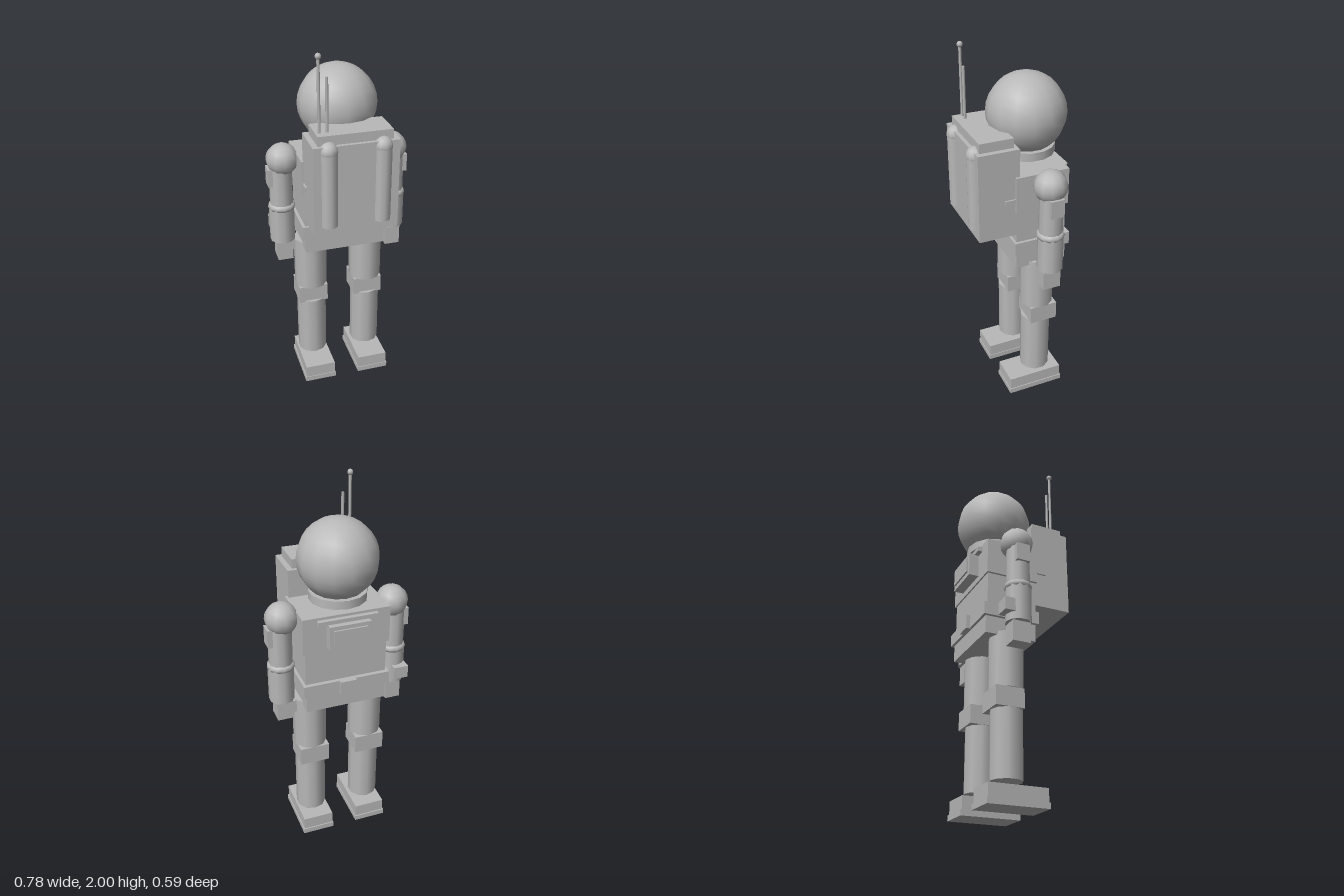
import * as THREE from 'three';

const grey = new THREE.MeshStandardMaterial({ color: 0xb8b8b8 });
grey.name = 'suit grey';

export function createModel() {
  const model = new THREE.Group();
  model.name = 'astronaut';

  const add = (name, geometry, x, y, z, parent = model) => {
    const mesh = new THREE.Mesh(geometry, grey);
    mesh.name = name;
    mesh.position.set(x, y, z);
    parent.add(mesh);
    return mesh;
  };
  // Box given by its extents on each axis
  const box = (name, [x0, x1], [y0, y1], [z0, z1], parent) =>
    add(name, new THREE.BoxGeometry(x1 - x0, y1 - y0, z1 - z0),
      (x0 + x1) / 2, (y0 + y1) / 2, (z0 + z1) / 2, parent);
  // Upright cylinder between two heights
  const tube = (name, r, [y0, y1], x, z, sides, parent) =>
    add(name, new THREE.CylinderGeometry(r, r, y1 - y0, sides), x, (y0 + y1) / 2, z, parent);
  // Sphere with a vertex column facing front and back
  const ball = (name, r, x, y, z, sides, rings, parent) =>
    add(name, new THREE.SphereGeometry(r, sides, rings).rotateY(Math.PI / 2), x, y, z, parent);

  // Head
  ball('helmet', 0.21, 0, 1.652, -0.088, 14, 14);
  tube('collar', 0.152, [1.44, 1.485], 0, -0.088, 14);
  tube('neck', 0.09, [1.4, 1.45], 0, -0.088, 12);

  // Torso
  box('chest', [-0.235, 0.235], [1.21, 1.41], [-0.225, 0.068]);
  box('abdomen', [-0.222, 0.222], [1.03, 1.21], [-0.217, 0.06]);
  box('belt', [-0.238, 0.238], [0.96, 1.03], [-0.24, 0.073]);
  box('buckle', [-0.045, 0.045], [0.955, 1.033], [-0.262, -0.235]);
  box('hips', [-0.22, 0.22], [0.865, 0.96], [-0.225, 0.06]);
  box('chestStrip', [-0.16, 0.16], [1.37, 1.396], [-0.25, -0.22]);
  box('chestPanel', [-0.11, 0.11], [1.243, 1.375], [-0.279, -0.22]);
  box('chestScreen', [-0.09, 0.09], [1.268, 1.354], [-0.288, -0.27]);

  // Backpack with aerials
  box('backpack', [-0.222, 0.222], [1.077, 1.56], [0.043, 0.265]);
  box('backpackCap', [-0.193, 0.193], [1.56, 1.61], [0.064, 0.245]);
  tube('tallAerial', 0.008, [1.6, 1.985], -0.172, 0.195, 6);
  ball('aerialTip', 0.016, -0.172, 1.984, 0.195, 8, 6);
  tube('shortAerial', 0.008, [1.6, 1.885], -0.132, 0.195, 6);

  // Mirrored parts
  for (const s of [1, -1]) {
    const side = s > 0 ? 'left' : 'right';
    const span = (a, b) => (s > 0 ? [a, b] : [-b, -a]);
    const arm = new THREE.Group(), leg = new THREE.Group();
    arm.name = side + 'Arm';
    leg.name = side + 'Leg';
    model.add(arm, leg);

    // Air tank and strap on the backpack
    tube(side + 'Tank', 0.048, [1.125, 1.53], s * 0.14, 0.245, 10);
    ball(side + 'TankDome', 0.05, s * 0.14, 1.53, 0.245, 10, 8);
    box(side + 'Strap', span(0.2, 0.231), [1.27, 1.29], [0.06, 0.124]);

    // Arm
    ball('shoulder', 0.088, s * 0.302, 1.37, -0.088, 10, 10, arm);
    tube('upperArm', 0.063, [1.1, 1.37], s * 0.315, -0.088, 10, arm);
    box('shoulderPatch', span(0.35, 0.388), [1.23, 1.328], [-0.126, -0.052], arm);
    add('elbowRing', new THREE.TorusGeometry(0.054, 0.021, 8, 12).rotateX(Math.PI / 2),
      s * 0.315, 1.1, -0.088, arm);
    tube('forearm', 0.069, [0.895, 1.1], s * 0.317, -0.088, 10, arm);
    box('hand', span(0.27, 0.355), [0.783, 0.895], [-0.135, -0.037], arm);
    box('thumb', span(0.24, 0.275), [0.81, 0.88], [-0.122, -0.087], arm);

    // Leg
    tube('thigh', 0.092, [0.583, 0.885], s * 0.163, -0.086, 10, leg);
    box('knee', span(0.08, 0.245), [0.48, 0.583], [-0.176, -0.02], leg);
    tube('shin', 0.084, [0.127, 0.49], s * 0.163, -0.083, 10, leg);
    box('boot', span(0.074, 0.246), [0.03, 0.1], [-0.213, 0.103], leg);
    box('sole', span(0.07, 0.252), [0, 0.03], [-0.22, 0.107], leg);
  }

  // Wrist device on the right forearm
  box('wristDevice', [-0.375, -0.293], [0.935, 1.005], [-0.187, -0.13]);

  return model;
}
